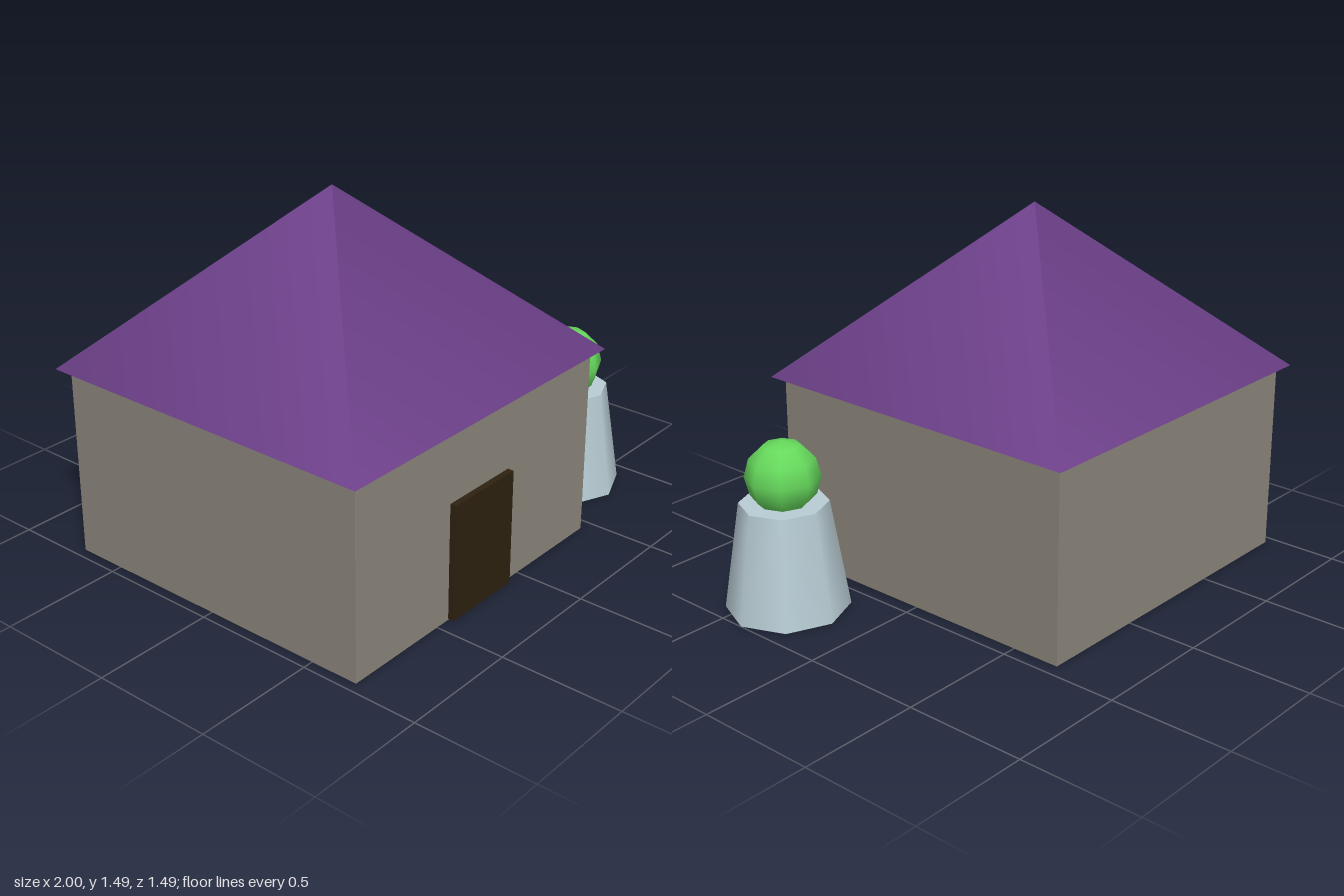
import * as THREE from 'three';

const material = (name, color) => {
  const m = new THREE.MeshStandardMaterial({ color });
  m.name = name;
  return m;
};

export function createModel() {
  const stone = material('wall stone', 0x8b857b);
  const purple = material('roof purple', 0x6b3f87);
  const wood = material('door wood', 0x2e2110);
  const metal = material('pedestal grey', 0xb8ccd4);
  const green = material('orb green', 0x66d95c);

  const model = new THREE.Group();
  model.name = 'house';
  const add = (name, geometry, mat, x, y, z) => {
    const mesh = new THREE.Mesh(geometry, mat);
    mesh.name = name;
    mesh.position.set(x, y, z);
    model.add(mesh);
    return mesh;
  };

  // House body, pyramid roof with overhanging eaves, and front door
  const houseX = -0.257;
  add('walls', new THREE.BoxGeometry(1.4, 0.79, 1.41), stone, houseX, 0.395, 0);
  const roof = add('roof', new THREE.ConeGeometry(1.051, 0.7, 4), purple, houseX, 1.141, 0);
  roof.rotation.y = Math.PI / 4;
  add('door', new THREE.BoxGeometry(0.35, 0.482, 0.05), wood, -0.259, 0.247, 0.706);

  // Eight-sided pedestal carrying an orb
  const postX = 0.754, postZ = 0.395;
  add('pedestal', new THREE.CylinderGeometry(0.175, 0.245, 0.44, 8), metal, postX, 0.22, postZ);
  add('orb', new THREE.SphereGeometry(0.148, 8, 6), green, postX, 0.545, postZ);

  return model;
}
